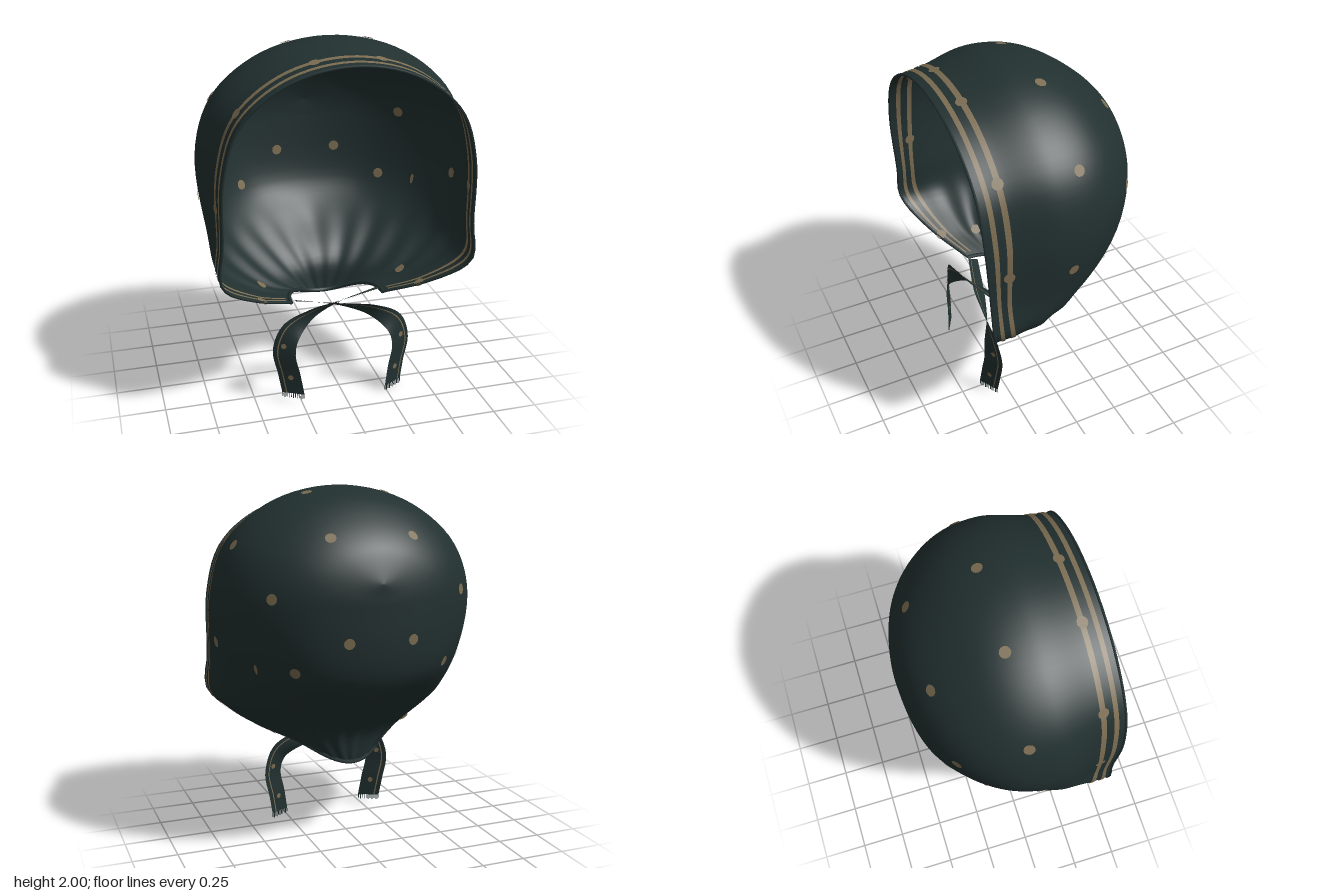
import * as THREE from 'three';
import { mergeVertices } from 'three/addons/utils/BufferGeometryUtils.js';

const V = (x, y, z) => new THREE.Vector3(x, y, z);
const flip = (p) => V(-p.x, p.y, p.z);

// Arches from the face opening to the centre back:
// z, top y, half width | hip x, z | shoulder x, y, z | throat x, y, z | place on neck edge
const ARCHES = [
  [0.515, 1.925, 0.665, 0.68, 0.485, 0.69, 0.81, 0.475, 0.50, 0.66, 0.37, 0],
  [0.38, 1.95, 0.68, 0.69, 0.38, 0.69, 0.81, 0.36, 0.48, 0.645, 0.28, 0.1],
  [0.13, 2.0, 0.74, 0.715, 0.15, 0.66, 0.81, 0.15, 0.44, 0.63, 0.15, 0.3],
  [-0.1, 1.965, 0.71, 0.66, -0.07, 0.56, 0.82, -0.04, 0.36, 0.62, 0.05, 0.5],
  [-0.3, 1.85, 0.585, 0.52, -0.27, 0.41, 0.83, -0.19, 0.24, 0.62, -0.06, 0.7],
  [-0.45, 1.70, 0.37, 0.31, -0.43, 0.23, 0.84, -0.30, 0.12, 0.62, -0.12, 0.87],
  [-0.525, 1.52, 0, 0, -0.49, 0, 0.84, -0.36, 0, 0.63, -0.135, 1],
];

function neckPoint(a) {
  const s = Math.sin(a * Math.PI / 2);
  return V(0.27 * Math.cos(a * Math.PI / 2), 0.55 - 0.1 * s ** 3, 0.22 - 0.32 * s);
}

function archPoints([z, top, w, hx, hz, sx, sy, sz, tx, ty, tz, a]) {
  const crown = [0, 30, 60, 90].map((d) => {
    const r = d * Math.PI / 180;
    return V(w * Math.sin(r), 1.4 + (top - 1.4) * Math.cos(r), z - 0.01 * (1 - Math.cos(r)) * (z > 0 ? 1 : 0));
  });
  return [...crown, V(hx, 1.03, hz), V(sx, sy, sz), V(tx, ty, tz), neckPoint(a)];
}

// Curves running from the opening to the back and round to the far side
const rows = ARCHES.map(archPoints);
const columns = rows[0].map((_, c) => {
  const line = rows.map((r) => r[c]);
  return new THREE.CatmullRomCurve3([...line, ...line.slice(0, -1).reverse().map(flip)]);
});

function archCurve(v) {
  const half = columns.map((c) => c.getPoint(v / 2));
  half[0].x = 0;
  return new THREE.CatmullRomCurve3([...half.slice(1).reverse().map(flip), ...half]);
}

// Cloth point: u runs across an arch, v from the opening to the back
function cloth(u, v, curve = archCurve(v)) {
  const p = curve.getPoint(u);
  const gather = THREE.MathUtils.smoothstep(0.95 - p.y, 0, 0.3) * THREE.MathUtils.smoothstep(v, 0.15, 0.35);
  const k = 1 + 0.02 * gather * Math.cos(v * Math.PI * 14);
  return V(p.x * k, p.y, 0.05 + (p.z - 0.05) * k);
}

function clothNormal(u, v) {
  const e = 0.004, u0 = Math.max(0, u - e), u1 = Math.min(1, u + e);
  const v0 = Math.max(0, v - e), v1 = Math.min(1, v + e);
  const du = cloth(u1, v).sub(cloth(u0, v)), dv = cloth(u, v1).sub(cloth(u, v0));
  return du.cross(dv).normalize();
}

// Smooth sheet from a point rule over a unit square
function sheet(nu, nv, rule) {
  const pos = [], idx = [];
  for (let j = 0; j <= nv; j++) {
    for (let i = 0; i <= nu; i++) pos.push(...rule(i / nu, j / nv).toArray());
  }
  for (let j = 0; j < nv; j++) {
    for (let i = 0; i < nu; i++) {
      const a = j * (nu + 1) + i, b = a + nu + 1;
      idx.push(a, a + 1, b, b, a + 1, b + 1);
    }
  }
  let g = new THREE.BufferGeometry();
  g.setAttribute('position', new THREE.Float32BufferAttribute(pos, 3));
  g.setIndex(idx);
  g = mergeVertices(g, 1e-5);
  g.computeVertexNormals();
  return g;
}

export function createModel() {
  const model = new THREE.Group();
  model.name = 'bonnet';
  const fabric = new THREE.MeshStandardMaterial({ name: 'dark teal fabric', color: 0x223030, side: THREE.DoubleSide });
  const gold = new THREE.MeshStandardMaterial({ name: 'dull gold print', color: 0x7c6d52, side: THREE.DoubleSide });
  const add = (name, geometry, material, parent = model) => {
    const m = new THREE.Mesh(geometry, material);
    m.name = name;
    parent.add(m);
    return m;
  };

  // Hood
  const curves = new Map();
  const curveAt = (v) => curves.get(v) ?? curves.set(v, archCurve(v)).get(v);
  add('hood', sheet(88, 72, (u, v) => cloth(u, v, curveAt(v))), fabric);

  // Hems of the opening and the neck
  const hem = (name, pts, r) =>
    add(name, new THREE.TubeGeometry(new THREE.CatmullRomCurve3(pts), 80, r, 6), fabric);
  hem('openingHem', Array.from({ length: 41 }, (_, i) => cloth(i / 40, 0)), 0.007);
  hem('neckHem', Array.from({ length: 25 }, (_, i) => {
    const a = i / 12;
    return a <= 1 ? neckPoint(a) : flip(neckPoint(2 - a));
  }), 0.012);

  // Two printed stripes along the opening, outside and inside
  for (const [from, to] of [[0.3, 0.5], [0.8, 1.0]]) {
    for (const side of [1, -1]) {
      add('openingStripe', sheet(90, 2, (s, t) => {
        const u = 0.01 + 0.98 * s, v = (from + (to - from) * t) / 6;
        return cloth(u, v).addScaledVector(clothNormal(u, v), 0.004 * side);
      }), gold);
    }
  }

  // Printed dots, set on the nearest place of the cloth
  const samples = [];
  for (let j = 0; j <= 60; j++) {
    const v = j / 60 * 0.985, curve = archCurve(v);
    for (let i = 0; i <= 70; i++) {
      const u = 0.5 + i / 140;
      samples.push({ u, v, p: cloth(u, v, curve) });
    }
  }
  const dots = [
    [0.22, 1.96, 0], [0.22, 1.75, -0.385], [0.63, 1.71, 0], [0.19, 1.93, 0.4], [0.57, 1.7, 0.4],
    [0.68, 1.2, 0.39], [0.73, 1.18, 0.06], [0.53, 1.44, -0.32], [0.43, 1.06, -0.37],
    [0.18, 1.22, -0.51], [0.42, 0.62, 0.1], [0.45, 0.64, 0.32], [0.58, 1.05, -0.2, 0.35],
  ];
  const disc = new THREE.CircleGeometry(0.03, 12);
  for (const [x, y, z, narrow = 1] of dots) {
    const target = V(x, y, z);
    const near = samples.reduce((a, b) => (b.p.distanceToSquared(target) < a.p.distanceToSquared(target) ? b : a));
    const n = clothNormal(near.u, near.v);
    for (const mirror of [1, -1]) {
      for (const side of [0.005, -0.005]) {
        const p = near.p.clone().addScaledVector(n, side), aim = p.clone().add(n);
        const d = add('dot', disc, gold);
        d.position.copy(mirror > 0 ? p : flip(p));
        d.lookAt(mirror > 0 ? aim : flip(aim));
        d.scale.x = narrow;
      }
    }
  }

  // Crossed ribbons: centre line and half-width vectors
  const path = new THREE.CatmullRomCurve3([
    V(-0.24, 0.55, 0.2), V(0, 0.53, 0.27), V(0.18, 0.49, 0.31), V(0.3, 0.41, 0.335),
    V(0.34, 0.29, 0.335), V(0.315, 0.15, 0.34), V(0.295, 0.03, 0.35)]);
  const width = new THREE.CatmullRomCurve3([
    V(0, 0.01, 0.03), V(0.005, 0.02, 0.035), V(0.02, 0.035, 0.02), V(0.045, 0.035, -0.015),
    V(0.058, 0.005, -0.03), V(0.057, -0.005, -0.032), V(0.057, 0, -0.032)]);
  const ribbonPoint = (t, s) => path.getPoint(t).addScaledVector(width.getPoint(t), s);
  const ribbonNormal = (t) => path.getTangent(t).cross(width.getPoint(t)).normalize();

  for (const mirror of [1, -1]) {
    const tie = new THREE.Group();
    tie.name = mirror > 0 ? 'leftTie' : 'rightTie';
    const place = (p) => (mirror > 0 ? p : flip(p).add(V(0, 0.022, 0.004)));
    add('ribbon', sheet(40, 6, (t, s) => place(ribbonPoint(t, s * 2 - 1))), fabric, tie);
    for (const side of [0.004, -0.004]) {
      add('ribbonStripe', sheet(40, 1, (t, s) =>
        place(ribbonPoint(t, 0.5 + 0.12 * s).addScaledVector(ribbonNormal(t), side))), gold, tie);
      for (const [t, s] of [[0.62, 0.1], [0.86, -0.1]]) {
        const p = ribbonPoint(t, s).addScaledVector(ribbonNormal(t), side);
        const d = add('ribbonDot', new THREE.CircleGeometry(0.016, 10), gold, tie);
        d.position.copy(place(p.clone()));
        d.lookAt(place(p.add(ribbonNormal(t))));
      }
    }
    // Frayed end
    for (let i = 0; i < 11; i++) {
      const len = 0.024 + 0.006 * (i % 2);
      const thread = add('fringeThread', new THREE.BoxGeometry(0.004, len, 0.004), fabric, tie);
      thread.position.copy(place(ribbonPoint(1, -0.95 + i * 0.19))).add(V(0, -len / 2, 0));
    }
    model.add(tie);
  }
  return model;
}
